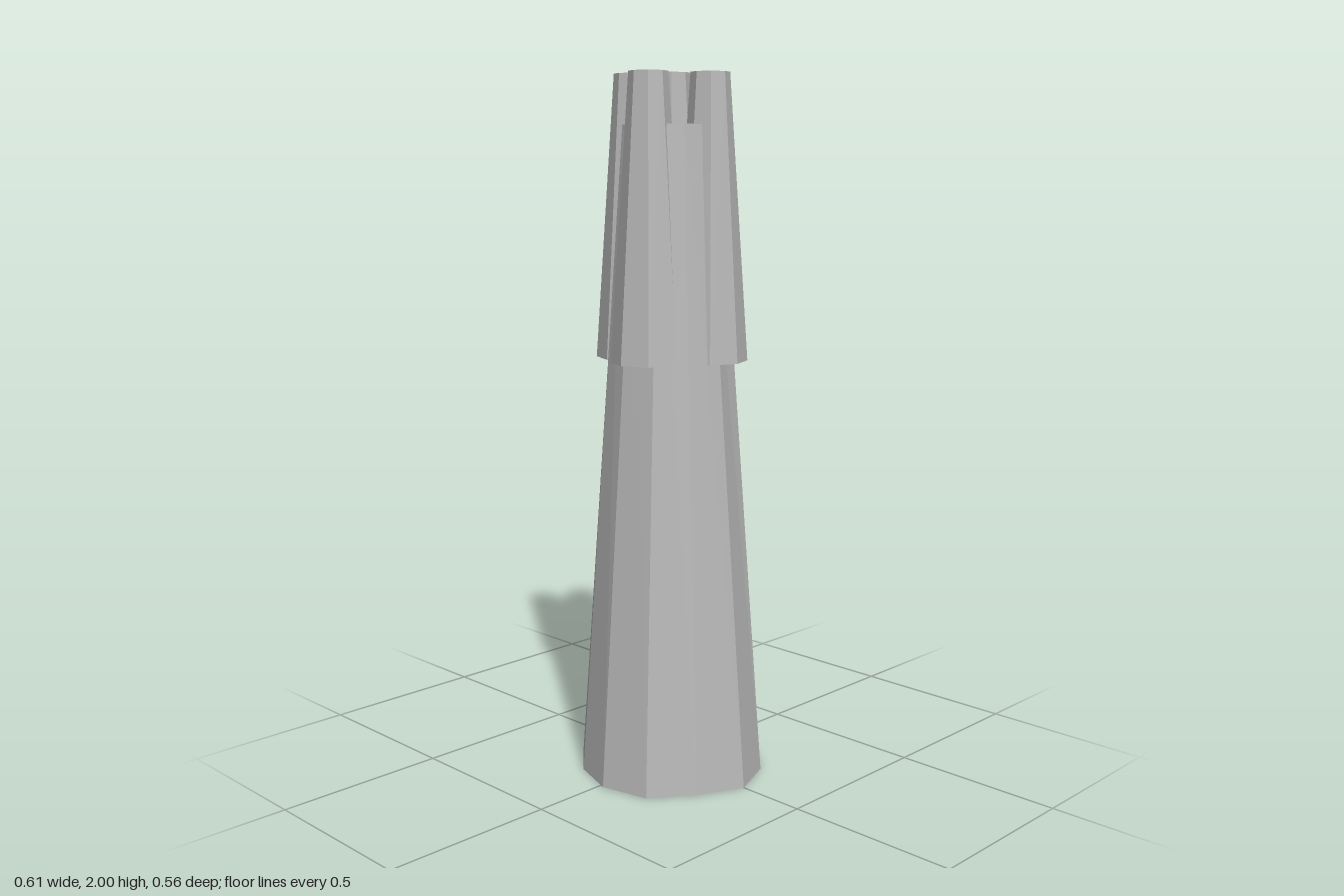
import * as THREE from 'three';

export function createModel() {
  const model = new THREE.Group();
  model.name = 'tubeTower';
  const grey = new THREE.MeshStandardMaterial({ color: 0xb8b8b8, flatShading: true, side: THREE.DoubleSide });
  grey.name = 'grey';

  // Tapered trunk: uneven twelve-sided foot rising to a regular open rim
  const foot = [
    [-0.303, 0], [-0.248, -0.15], [-0.12, -0.231], [0.013, -0.285], [0.146, -0.223], [0.248, -0.134],
    [0.302, 0], [0.241, 0.13], [0.156, 0.247], [0.013, 0.28], [-0.12, 0.235], [-0.227, 0.139],
  ];
  const sides = foot.length;
  const rimHeight = 1.86, rimRadius = 0.137;
  const points = [], index = [];
  foot.forEach(([x, z], i) => {
    const a = (i / sides) * Math.PI * 2;
    points.push(x, 0, z);
    points.push(0.009 - rimRadius * Math.cos(a), rimHeight, 0.002 - rimRadius * Math.sin(a));
    const b = 2 * i, next = 2 * ((i + 1) % sides);
    index.push(b, b + 1, next + 1, b, next + 1, next);
  });
  const trunkShape = new THREE.BufferGeometry();
  trunkShape.setAttribute('position', new THREE.Float32BufferAttribute(points, 3));
  trunkShape.setIndex(index);
  trunkShape.computeVertexNormals();
  const trunk = new THREE.Mesh(trunkShape, grey);
  trunk.name = 'trunk';
  model.add(trunk);

  // Five open octagonal tubes: one in the middle, four around it
  const tubeBottom = 1.21, tubeTop = 2;
  const tubeShape = new THREE.CylinderGeometry(0.054, 0.108, tubeTop - tubeBottom, 8, 1, true);
  const tubes = {
    centreTube: [0.013, 0.003],
    leftTube: [0.121, -0.039],
    rightTube: [-0.092, 0.047],
    frontTube: [0.034, 0.112],
    backTube: [-0.021, -0.097],
  };
  for (const [name, [x, z]] of Object.entries(tubes)) {
    const tube = new THREE.Mesh(tubeShape, grey);
    tube.name = name;
    tube.position.set(x, (tubeBottom + tubeTop) / 2, z);
    model.add(tube);
  }
  return model;
}
